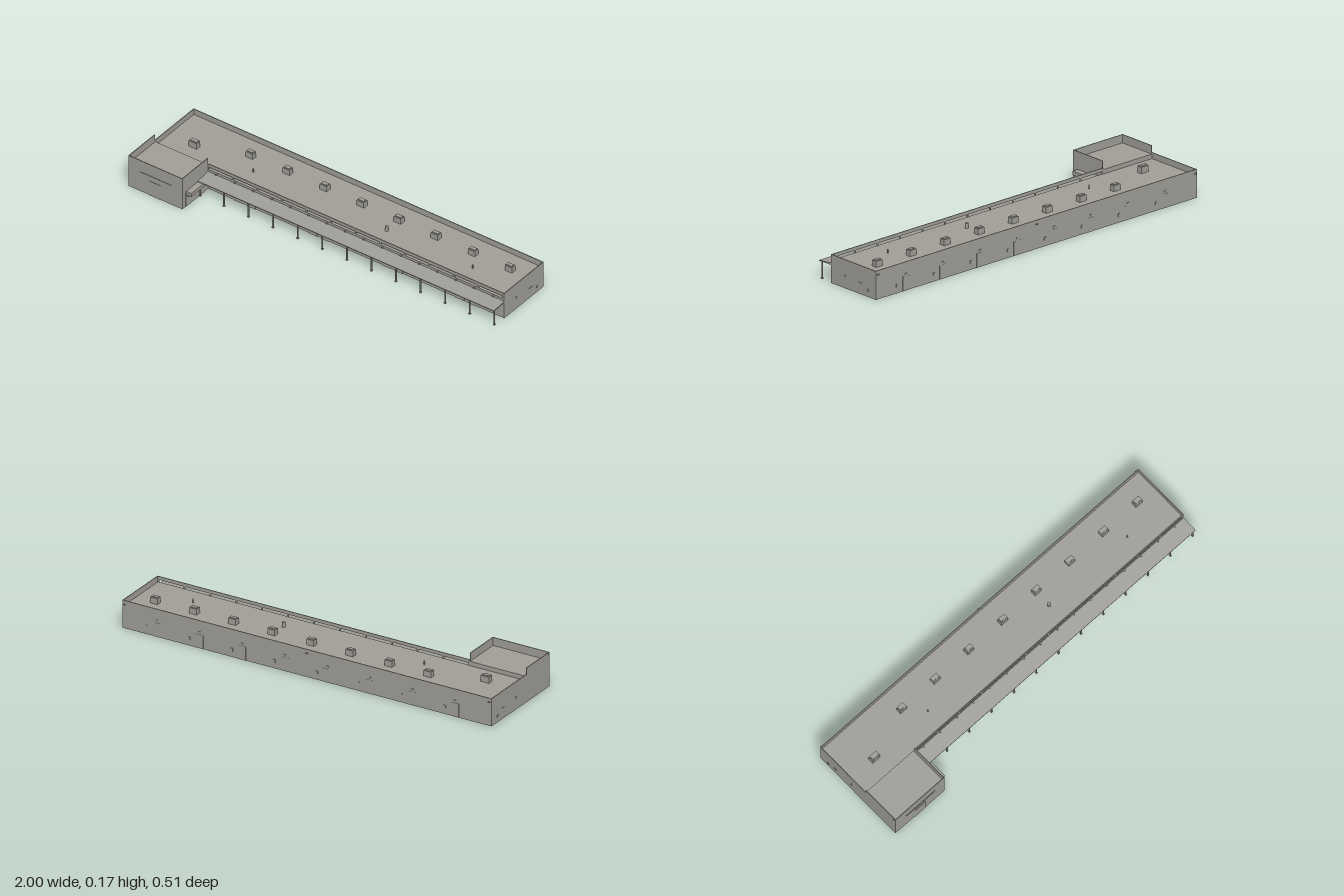
import * as THREE from 'three';

const stone = new THREE.MeshStandardMaterial({ color: 0xa09e97, side: THREE.DoubleSide });
stone.name = 'warm grey';

// Box given by its limits on each axis
function slab(parent, name, x0, x1, y0, y1, z0, z1) {
  const mesh = new THREE.Mesh(new THREE.BoxGeometry(x1 - x0, y1 - y0, z1 - z0), stone);
  mesh.position.set((x0 + x1) / 2, (y0 + y1) / 2, (z0 + z1) / 2);
  mesh.name = name;
  parent.add(mesh);
  return mesh;
}

function part(parent, name) {
  const g = new THREE.Group();
  g.name = name;
  parent.add(g);
  return g;
}

export function createModel() {
  const model = new THREE.Group();
  model.name = 'shoppingStrip';
  const T = 0.004; // wall thickness
  const BACK = -0.25, FRONT = 0.055, END = 0.257, SIDE = -0.69;
  const L = -0.997, R = 0.997;

  // Long hall, open underneath, with a sunken roof
  const hall = part(model, 'hall');
  slab(hall, 'backWall', L, R, 0, 0.14, BACK, BACK + T);
  slab(hall, 'leftEndWall', R - T, R, 0, 0.14, BACK, FRONT);
  slab(hall, 'rightEndWall', L, L + T, 0, 0.14, BACK, FRONT);
  slab(hall, 'shopFrontWall', SIDE, R, 0, 0.11, FRONT - T, FRONT);
  slab(hall, 'roof', L, R, 0.107, 0.11, BACK, FRONT);

  // Raised fascia on posts along the front roof edge
  const fascia = part(model, 'fascia');
  slab(fascia, 'fasciaBeam', SIDE, R, 0.123, 0.14, FRONT - T, FRONT);
  for (let i = 0; i <= 12; i++) {
    const x = 0.99 - 0.14 * i;
    slab(fascia, 'fasciaPost', x - 0.004, x + 0.004, 0.11, 0.125, FRONT - T, FRONT);
  }
  for (let i = 0; i < 16; i++) {
    const x = -0.64 + 0.105 * i;
    slab(fascia, 'fasciaLamp', x - 0.004, x + 0.004, 0.1, 0.104, FRONT, FRONT + 0.008);
  }

  // Taller block with parapets on three sides
  const block = part(model, 'cornerBlock');
  slab(block, 'frontWall', L, SIDE, 0, 0.173, END - 0.002 - T, END - 0.002);
  slab(block, 'outerWall', L, L + T, 0, 0.173, FRONT, END - 0.002);
  slab(block, 'innerWall', SIDE - T, SIDE, 0, 0.173, FRONT, END - 0.002);
  slab(block, 'blockRoof', L, SIDE, 0.129, 0.132, FRONT, END - 0.002);
  slab(block, 'roofStep', L, SIDE, 0.107, 0.132, FRONT - T, FRONT);
  slab(block, 'frontDoor', -0.875, -0.81, 0, 0.08, END - 0.002, END);
  slab(block, 'frontLedge', -0.93, -0.75, 0.108, 0.11, END - 0.002, END);
  slab(block, 'sideDoorPanel', SIDE, SIDE + 0.002, 0, 0.075, 0.08, 0.23);
  slab(block, 'sideEntryCanopy', SIDE, -0.66, 0.066, 0.085, 0.085, 0.225);
  slab(block, 'canopyHanger', -0.68, -0.676, 0.057, 0.066, 0.222, 0.225);
  slab(block, 'wallLamp', L - 0.003, L, 0.165, 0.169, 0.24, 0.25);

  // Sloping walkway canopy extruded along the shop front
  const outline = new THREE.Shape([[0, 0.088], [0.08, 0.086], [0.08, 0.09], [0, 0.097]]
    .map(([z, y]) => new THREE.Vector2(-z, y)));
  const canopy = new THREE.Mesh(
    new THREE.ExtrudeGeometry(outline, { depth: R - SIDE, bevelEnabled: false }), stone);
  canopy.rotation.y = Math.PI / 2;
  canopy.position.set(SIDE, 0, FRONT);
  canopy.name = 'walkwayCanopy';
  model.add(canopy);

  const columns = part(model, 'walkwayColumns');
  for (let i = 0; i <= 12; i++) {
    const x = 0.99 - 0.14 * i + (i === 12 ? 0.005 : 0);
    slab(columns, 'column', x - 0.003, x + 0.003, 0, 0.087, 0.119, 0.125);
    slab(columns, 'columnFoot', x - 0.005, x + 0.005, 0, 0.006, 0.117, 0.127);
  }

  // Paired shop doors
  const doors = part(model, 'shopDoors');
  for (const c of [-0.48, -0.06, 0.36, 0.78]) {
    for (const s of [-1, 1]) {
      const x = c + s * 0.035;
      slab(doors, 'shopDoor', x - 0.025, x + 0.025, 0, 0.08, FRONT, FRONT + 0.003);
    }
  }

  // Rooftop units and vents
  const rooftop = part(model, 'rooftopUnits');
  const unit = (x, z, w, top) => {
    slab(rooftop, 'unitCurb', x - w / 2, x + w / 2, 0.11, top - 0.004, z - 0.014, z + 0.014);
    slab(rooftop, 'unitCap', x - w / 2 + 0.004, x + w / 2 - 0.004, top - 0.004, top, z - 0.009, z + 0.009);
  };
  for (let i = 0; i < 8; i++) unit(-0.59 + 0.211 * i, -0.14, 0.04, 0.143);
  unit(-0.845, -0.05, 0.045, 0.145);
  for (const [x, r, h] of [[0.25, 0.008, 0.025], [-0.51, 0.003, 0.02], [0.74, 0.003, 0.02]]) {
    const vent = new THREE.Mesh(new THREE.CylinderGeometry(r, r, h, 12), stone);
    vent.position.set(x, 0.11 + h / 2, -0.05);
    vent.name = 'roofVent';
    rooftop.add(vent);
  }

  // Service doors, lamps and small boxes on the back wall
  const service = part(model, 'serviceFittings');
  for (let i = 0; i < 8; i++) {
    const x = -0.8 + 0.23 * i;
    slab(service, 'serviceDoor', x - 0.02, x + 0.02, 0, 0.07, BACK - 0.001, BACK);
    slab(service, 'meterBox', x + 0.05, x + 0.062, 0.03, 0.045, BACK - 0.003, BACK);
    slab(service, 'doorLamp', x - 0.006, x + 0.006, 0.08, 0.085, BACK - 0.003, BACK);
  }
  for (const x of [-0.985, 0, 0.985]) {
    slab(service, 'floodLamp', x - 0.005, x + 0.005, 0.119, 0.123, BACK - 0.007, BACK);
  }

  // Small fittings mirrored on both end walls
  for (const s of [-1, 1]) {
    for (const [z, y, w, h] of [[-0.04, 0.063, 0.005, 0.009], [-0.148, 0.056, 0.02, 0.002], [-0.197, 0.032, 0.008, 0.011]]) {
      const x = s * 0.9985;
      slab(service, 'endWallBox', x - 0.0015, x + 0.0015, y - h / 2, y + h / 2, z - w / 2, z + w / 2);
    }
  }
  return model;
}
